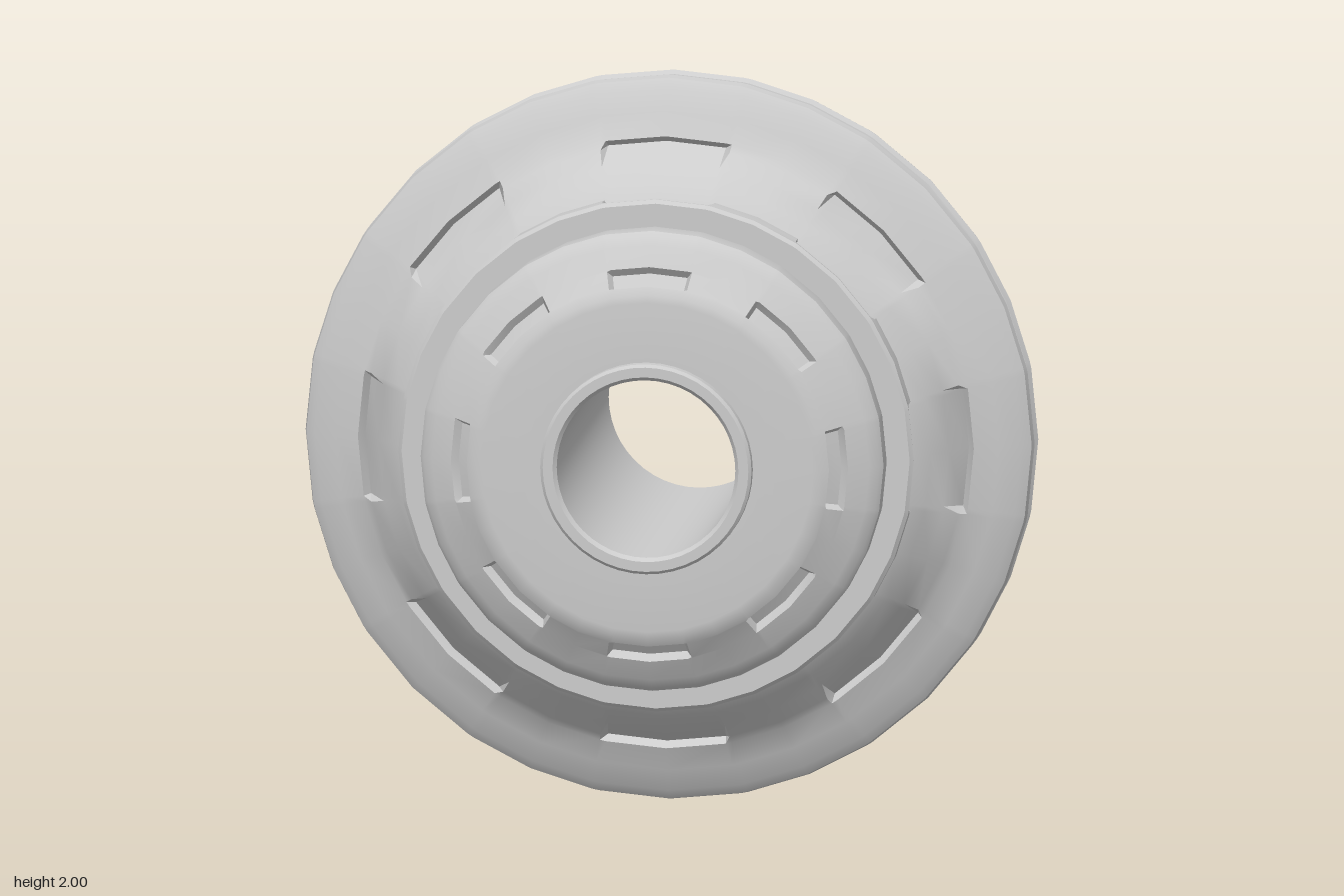
import * as THREE from 'three';
import { toCreasedNormals } from 'three/addons/utils/BufferGeometryUtils.js';

const material = new THREE.MeshStandardMaterial({ color: 0xcccccc });
const rad = THREE.MathUtils.degToRad;

// Body of revolution about z with eight notches: the plain profile alternates
// with the cut one. Profiles are lists of [radius, z], running back to front.
function notchedRing(plain, cuts) {
  const cut = plain.map((p, j) => cuts[j] ?? p);
  const columns = [];
  for (let k = 0; k < 8; k++) {
    for (const [deg, profile] of [[-11.25, cut], [0, cut], [11.25, cut], [12.4, plain], [22.5, plain], [32.6, plain]]) {
      const a = rad(k * 45 + deg);
      columns.push(profile.map(([r, z]) => [r * Math.cos(a), r * Math.sin(a), z]));
    }
  }
  const positions = [];
  columns.forEach((c, i) => {
    const d = columns[(i + 1) % columns.length];
    for (let j = 0; j < plain.length - 1; j++) {
      positions.push(...c[j], ...d[j], ...d[j + 1], ...c[j], ...d[j + 1], ...c[j + 1]);
    }
  });
  const geometry = new THREE.BufferGeometry();
  geometry.setAttribute('position', new THREE.Float32BufferAttribute(positions, 3));
  return toCreasedNormals(geometry, rad(32));
}

function addMesh(parent, name, geometry) {
  const mesh = new THREE.Mesh(geometry, material);
  mesh.name = name;
  parent.add(mesh);
}

export function createModel() {
  const model = new THREE.Group();
  model.name = 'wheel';

  // Wide flange with recesses in its fillet
  const flange = notchedRing(
    [[0.28, 0.02], [0.97, 0.02], [0.99, 0.025], [1, 0.04], [0.995, 0.065], [0.97, 0.085], [0.91, 0.107],
      [0.845, 0.136], [0.825, 0.155], [0.785, 0.193], [0.74, 0.237], [0.7, 0.275], [0.665, 0.295], [0.6, 0.31]],
    { 8: [0.828, 0.108], 9: [0.783, 0.187] }
  );

  // Collar with teeth between its notches
  const collar = notchedRing(
    [[0.6, 0.265], [0.695, 0.268], [0.705, 0.278], [0.707, 0.31], [0.707, 0.335], [0.707, 0.352], [0.697, 0.362], [0.6, 0.362]],
    { 1: [0.66, 0.29], 2: [0.675, 0.298], 3: [0.685, 0.313], 4: [0.704, 0.33] }
  );

  // Stepped drum with small pockets in its chamfer
  const drum = notchedRing(
    [[0.6, 0.35], [0.63, 0.355], [0.635, 0.37], [0.635, 0.44], [0.625, 0.455], [0.6, 0.472],
      [0.545, 0.5], [0.542, 0.502], [0.5, 0.533], [0.497, 0.535], [0.475, 0.547], [0.455, 0.55], [0.28, 0.55]],
    { 7: [0.525, 0.485], 8: [0.483, 0.515] }
  );

  // Two identical halves, back to back
  for (const [name, turn] of [['frontHalf', 0], ['backHalf', Math.PI]]) {
    const half = new THREE.Group();
    half.name = name;
    half.rotation.y = turn;
    addMesh(half, 'flange', flange);
    addMesh(half, 'collar', collar);
    addMesh(half, 'drum', drum);
    model.add(half);
  }

  // Hollow axle sleeve through both halves
  const sleeve = [[0.245, -0.575], [0.255, -0.587], [0.282, -0.587], [0.29, -0.579], [0.29, 0.579],
    [0.282, 0.587], [0.255, 0.587], [0.245, 0.575], [0.245, -0.575]].map(([r, z]) => new THREE.Vector2(r, z));
  const sleeveGeometry = new THREE.LatheGeometry(sleeve, 48).rotateX(Math.PI / 2);
  addMesh(model, 'axleSleeve', toCreasedNormals(sleeveGeometry, rad(32)));

  model.position.y = 1;
  const root = new THREE.Group();
  root.add(model);
  return root;
}
